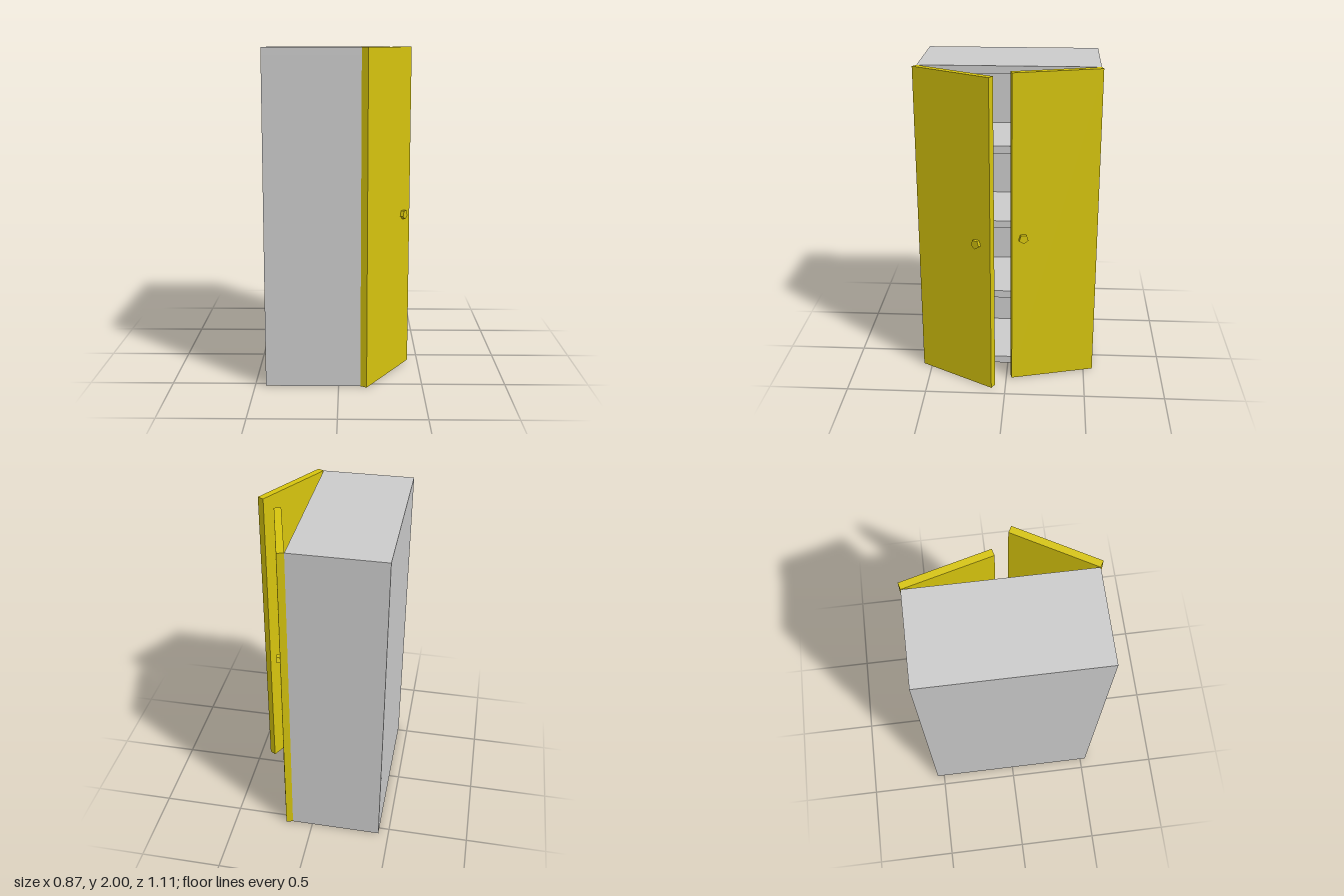
import * as THREE from 'three';

const grey = new THREE.MeshStandardMaterial({ color: 0xcccccc, flatShading: true });
const yellow = new THREE.MeshStandardMaterial({ color: 0xd6c40e, flatShading: true });

const X0 = -0.436, X1 = 0.13; // back and open side of the cabinet
const Z0 = -0.547, Z1 = 0.535;
const H = 2, T = 0.048, DOOR_T = 0.043;

// Box given by its minimum and maximum corners
function box(name, material, min, max) {
  const size = max.map((v, i) => v - min[i]);
  const mesh = new THREE.Mesh(new THREE.BoxGeometry(...size), material);
  mesh.position.set(...min.map((v, i) => (v + max[i]) / 2));
  mesh.name = name;
  return mesh;
}

// Door hinged at a front corner; side is the direction in which it runs along z
function makeDoor(name, hingeZ, side, degrees, knobInset) {
  const door = new THREE.Group();
  door.name = name;
  const width = (Z1 - Z0) / 2;
  door.add(box('doorPanel', yellow,
    [0, 0, Math.min(0, side * width)], [DOOR_T, H, Math.max(0, side * width)]));

  // Five-sided knob with a corner pointing down
  const knob = new THREE.Mesh(
    new THREE.CylinderGeometry(0.03, 0.03, 0.03, 5, 1, false, Math.PI / 2), yellow);
  knob.name = 'knob';
  knob.rotation.z = -Math.PI / 2;
  knob.position.set(DOOR_T + 0.006, 0.98, side * (width - knobInset));
  door.add(knob);

  door.position.set(X1, 0, hingeZ);
  door.rotation.y = THREE.MathUtils.degToRad(degrees);
  return door;
}

export function createModel() {
  const model = new THREE.Group();
  model.name = 'cabinet';

  // Carcass: back, two sides, top and bottom
  model.add(
    box('backPanel', grey, [X0, T, Z0 + T], [X0 + T, H - T, Z1 - T]),
    box('sidePanelRear', grey, [X0, T, Z0], [X1, H - T, Z0 + T]),
    box('sidePanelFront', grey, [X0, T, Z1 - T], [X1, H - T, Z1]),
    box('bottomPanel', grey, [X0, 0, Z0], [X1, T, Z1]),
    box('topPanel', grey, [X0, H - T, Z0], [X1, H, Z1]),
  );

  // Three evenly spaced shelves
  for (let i = 1; i <= 3; i++) {
    const y = i * (H - T) / 4;
    model.add(box('shelf' + i, grey, [X0 + T, y, Z0 + T], [X1, y + T, Z1 - T]));
  }

  // Doors standing ajar at different angles
  model.add(
    makeDoor('doorRear', Z0, 1, 15, 0.07),
    makeDoor('doorFront', Z1, -1, -30, 0.097),
  );
  return model;
}
